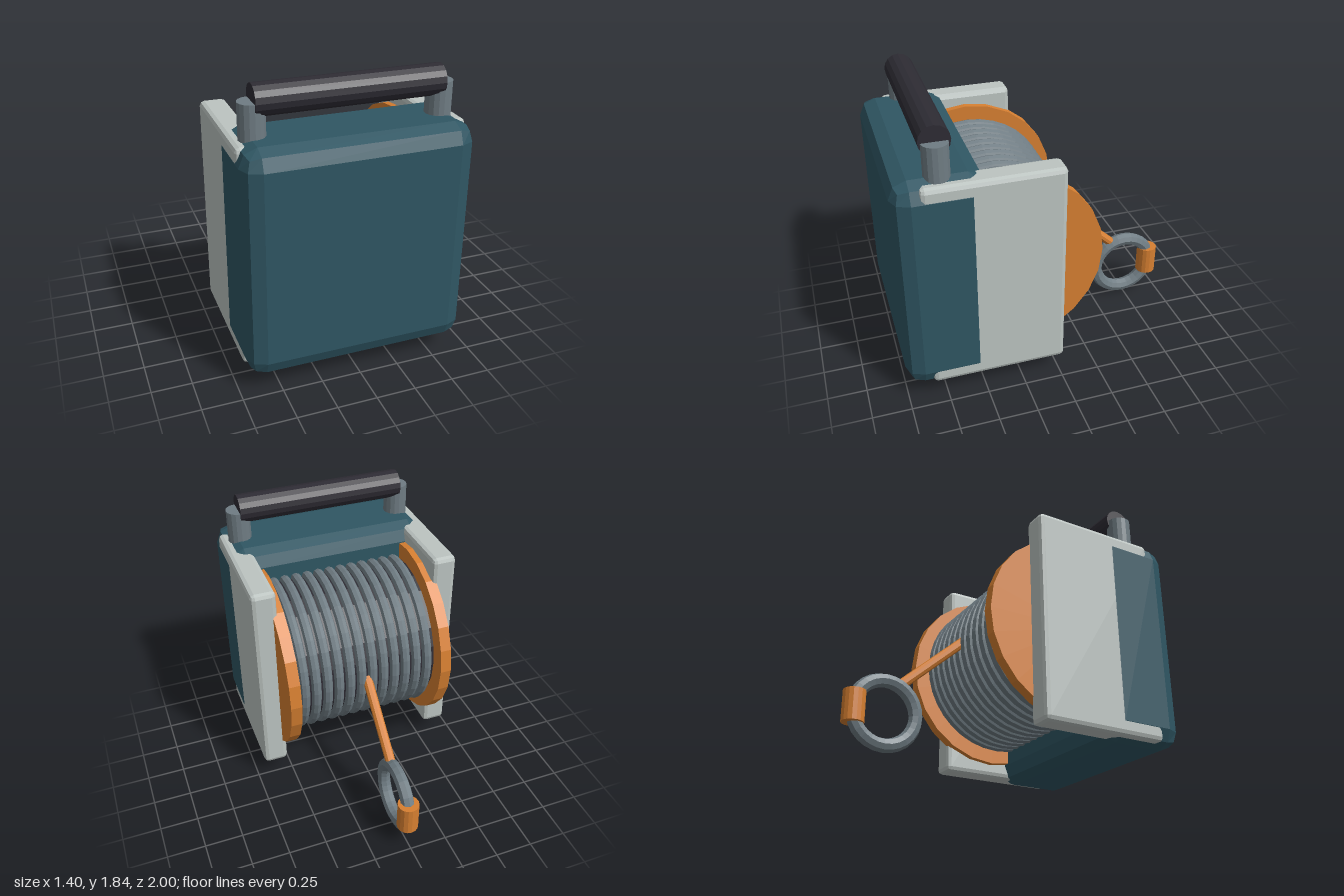
import * as THREE from 'three';
import { RoundedBoxGeometry } from 'three/addons/geometries/RoundedBoxGeometry.js';

export function createModel() {
  const model = new THREE.Group();
  model.name = 'cableReel';

  const material = (name, color) => {
    const m = new THREE.MeshStandardMaterial({ color, flatShading: true });
    m.name = name;
    return m;
  };
  const teal = material('teal housing', 0x2f5663);
  const pale = material('pale grey panel', 0xbcc4c1);
  const orange = material('orange', 0xd67f31);
  const steel = material('steel grey', 0x6f7c83);
  const dark = material('dark rubber', 0x2d2b33);

  const add = (name, geometry, mat, x, y, z, parent = model) => {
    const mesh = new THREE.Mesh(geometry, mat);
    mesh.name = name;
    mesh.position.set(x, y, z);
    parent.add(mesh);
    return mesh;
  };
  const cylinder = (r, h, sides) => new THREE.CylinderGeometry(r, r, h, sides);
  // Cylinder lying along x, with a corner pointing along -z
  const axle = (r, h, sides) => cylinder(r, h, sides).rotateZ(Math.PI / 2);

  // Housing with chamfered edges
  add('housing', new RoundedBoxGeometry(1.4, 1.44, 0.57, 1, 0.11), teal, 0, 0.83, 0.715);

  // Side panels and carrying handle posts
  for (const [side, s] of [['left', 1], ['right', -1]]) {
    add(side + 'Panel', new RoundedBoxGeometry(0.166, 1.4, 0.87, 1, 0.03), pale, s * 0.616, 0.83, 0.405);
    add(side + 'HandlePost', cylinder(0.08, 0.25, 16), steel, s * 0.57, 1.625, 0.715);
  }
  add('handleGrip', axle(0.095, 1.14, 16), dark, 0, 1.755, 0.715);

  // Spool: drum, two flanges and the wound cable
  const spool = new THREE.Group();
  spool.name = 'spool';
  spool.position.set(0, 0.83, 0.3);
  model.add(spool);
  add('drum', axle(0.505, 1, 24), dark, 0, 0, 0, spool);
  for (const [side, s] of [['left', 1], ['right', -1]]) {
    add(side + 'Flange', axle(0.62, 0.075, 24), orange, s * 0.527, 0, 0, spool);
  }
  const coil = new THREE.TorusGeometry(0.511, 0.034, 8, 36).rotateY(Math.PI / 2);
  for (let i = 0; i < 12; i++) {
    add('cableTurn' + (i + 1), coil, steel, (i - 5.5) * 0.079, 0, 0, spool);
  }

  // Loose cable end running down to the pull ring
  const start = new THREE.Vector3(0, 0.85, -0.2);
  const end = new THREE.Vector3(0, 0.46, -0.63);
  const run = end.clone().sub(start);
  const middle = start.clone().add(end).multiplyScalar(0.5);
  const cable = add('cableEnd', cylinder(0.033, run.length(), 10), orange, middle.x, middle.y, middle.z);
  cable.quaternion.setFromUnitVectors(new THREE.Vector3(0, 1, 0), run.normalize());

  // Pull ring and its clasp
  const ring = new THREE.TorusGeometry(0.205, 0.045, 8, 28).rotateY(Math.PI / 2);
  add('pullRing', ring, steel, 0, 0.257, -0.733);
  add('ringClasp', cylinder(0.07, 0.2, 16), orange, 0, 0.262, -0.93);

  return model;
}
